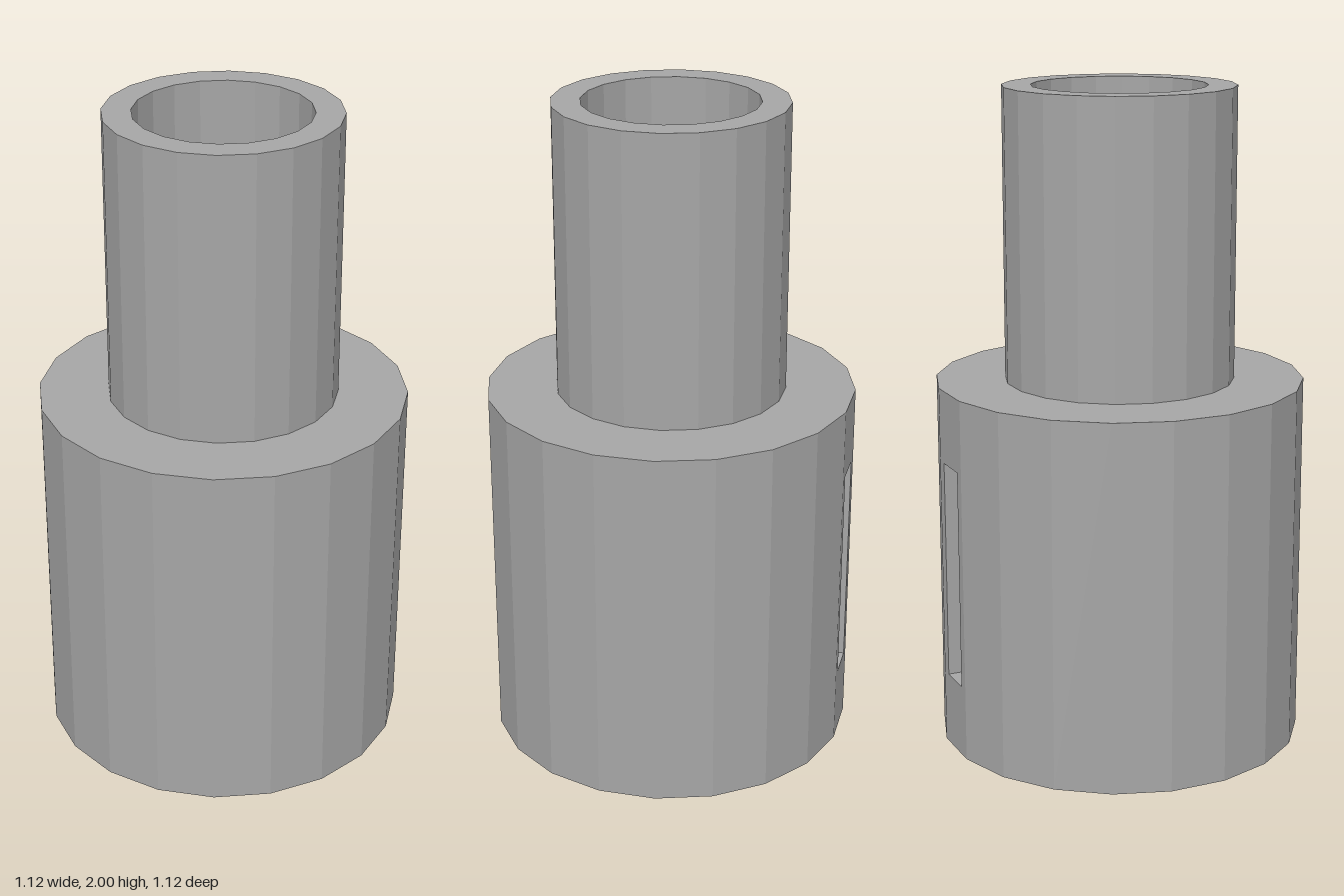
import * as THREE from 'three';

const SIDES = 20;
const STEP = (2 * Math.PI) / SIDES;
const BODY_R = 0.558, BODY_H = 1.12;
const TUBE_R = 0.348, BORE_R = 0.262, TOP = 2;
const SLOT = { width: 0.11, bottom: 0.224, top: 0.896, depth: 0.11 };

export function createModel() {
  const model = new THREE.Group();
  const grey = new THREE.MeshStandardMaterial({ color: 0xa6a6a6, flatShading: true });
  grey.name = 'grey';

  const add = (name, geometry, parent = model) => {
    const mesh = new THREE.Mesh(geometry, grey);
    mesh.name = name;
    parent.add(mesh);
    return mesh;
  };

  // Body wall: every facet except the slotted one
  const facet = 11;
  const wall = new THREE.CylinderGeometry(BODY_R, BODY_R, BODY_H, SIDES - 1, 1, true,
    (facet + 1) * STEP, (SIDES - 1) * STEP);
  add('bodyWall', wall.translate(0, BODY_H / 2, 0));

  // Shoulder and base discs; the shoulder also closes the bore
  add('shoulder', new THREE.CircleGeometry(BODY_R, SIDES).rotateX(-Math.PI / 2).translate(0, BODY_H, 0));
  add('base', new THREE.CircleGeometry(BODY_R, SIDES).rotateX(Math.PI / 2));

  // Slotted facet, built facing +z and turned into place
  const slotted = new THREE.Group();
  slotted.name = 'slottedFacet';
  slotted.rotation.y = (facet + 0.5) * STEP;
  model.add(slotted);
  const faceZ = BODY_R * Math.cos(STEP / 2);
  const half = BODY_R * Math.sin(STEP / 2);
  const rectangle = (w, y0, y1) => [[-w, y0], [w, y0], [w, y1], [-w, y1]]
    .map(([x, y]) => new THREE.Vector2(x, y));
  const panel = new THREE.Shape(rectangle(half, 0, BODY_H));
  panel.holes.push(new THREE.Path(rectangle(SLOT.width / 2, SLOT.bottom, SLOT.top)));
  add('slotPanel', new THREE.ShapeGeometry(panel).translate(0, 0, faceZ), slotted);

  // Slot pocket: a box turned inside out without its front
  const pocket = new THREE.BoxGeometry(SLOT.width, SLOT.top - SLOT.bottom, SLOT.depth);
  const index = Array.from(pocket.index.array);
  index.splice(24, 6);
  pocket.setIndex(index.reverse());
  pocket.clearGroups();
  pocket.computeVertexNormals();
  pocket.translate(0, (SLOT.bottom + SLOT.top) / 2, faceZ - SLOT.depth / 2);
  add('slotPocket', pocket, slotted);

  // Hollow upper tube: outside, rim and bore
  const profile = [[TUBE_R, BODY_H], [TUBE_R, TOP], [BORE_R, TOP], [BORE_R, BODY_H]]
    .map(([r, y]) => new THREE.Vector2(r, y));
  add('upperTube', new THREE.LatheGeometry(profile, SIDES));

  return model;
}
